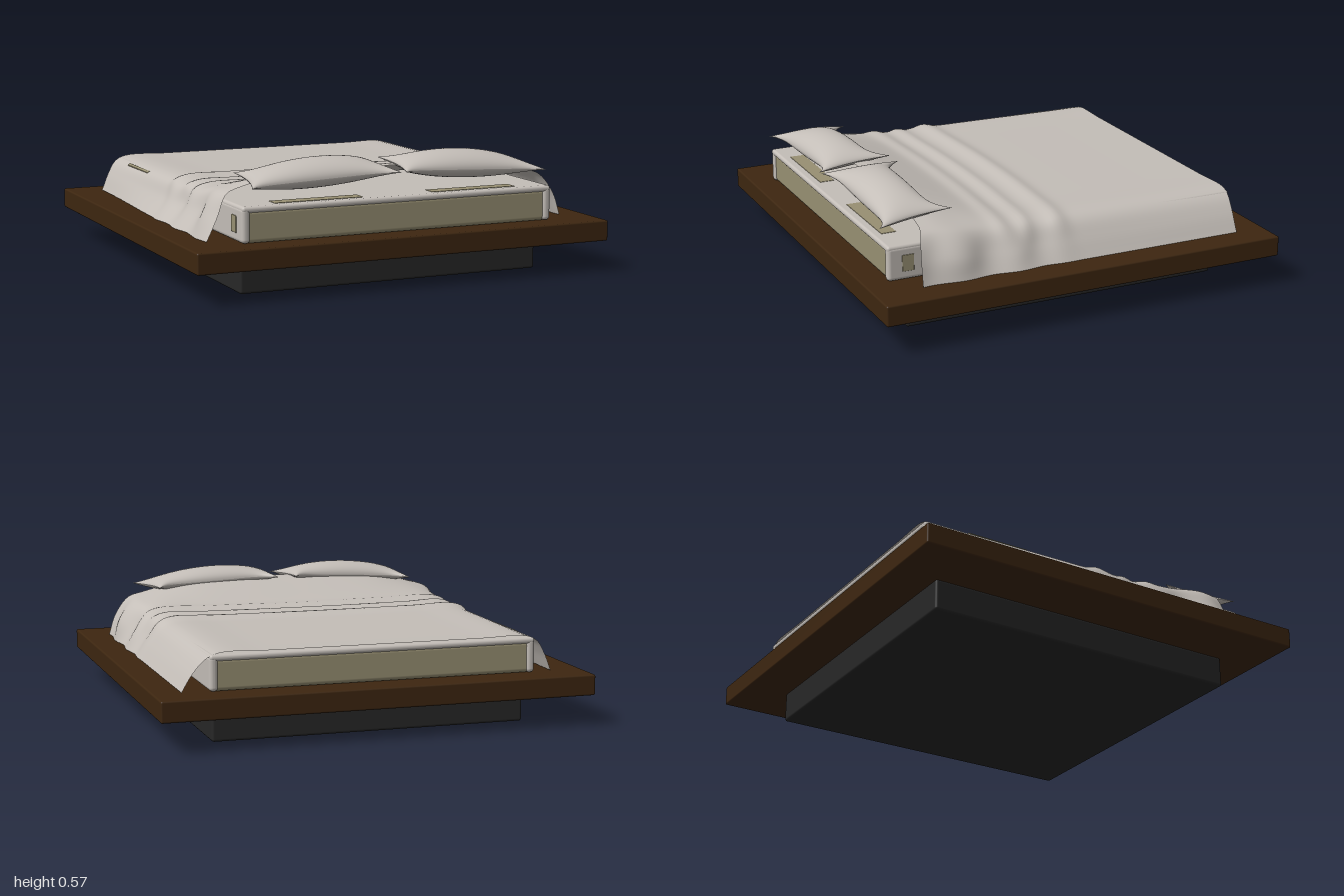
import * as THREE from 'three';
import { RoundedBoxGeometry } from 'three/addons/geometries/RoundedBoxGeometry.js';

const mat = (name, color, side = THREE.FrontSide) => {
  const m = new THREE.MeshStandardMaterial({ color, side });
  m.name = name;
  return m;
};

// Smooth surface from a rule fn(u, v) -> [x, y, z], u and v in -1..1
function surface(nu, nv, fn) {
  const pos = [], idx = [];
  for (let j = 0; j <= nv; j++)
    for (let i = 0; i <= nu; i++) pos.push(...fn((2 * i) / nu - 1, (2 * j) / nv - 1));
  for (let j = 0; j < nv; j++)
    for (let i = 0; i < nu; i++) {
      const a = j * (nu + 1) + i, c = a + nu + 1;
      idx.push(a, c, a + 1, a + 1, c, c + 1);
    }
  const g = new THREE.BufferGeometry();
  g.setAttribute('position', new THREE.Float32BufferAttribute(pos, 3));
  g.setIndex(idx);
  g.computeVertexNormals();
  return g;
}

const bump = (d, w) => Math.exp(-(d * d) / (w * w));
const smooth = THREE.MathUtils.smoothstep;

// Height of the blanket over the mattress: cross folds, then a rise to the pillows
function blanketTop(x, z) {
  const bow = z - 0.07 * x * x;
  const folds = 0.016 * bump(bow - 0.02, 0.045) + 0.012 * bump(bow - 0.17, 0.035)
    + 0.012 * bump(bow - 0.29, 0.04);
  const rise = smooth(z, 0.24, 0.68) * (0.1 - 0.06 * Math.pow(Math.abs(x) / 0.72, 4));
  return 0.406 + 0.006 * smooth(z, -0.8, 0) + folds + rise;
}

// One cross-section of the blanket, from right hem to left hem
function blanketSection(z) {
  const ruffle = smooth(z, -0.05, 0.2);
  const side = (s) => {
    const wave = ruffle * 0.014 * Math.sin(z * 24 + s);
    const full = smooth(z, 0.3, 0.65);
    const hem = (s > 0 ? 0.875 : 0.845 + 0.035 * smooth(z, -0.8, 0.2)) + wave * 0.5;
    const mid = (s > 0 ? 0.825 : 0.81) + 0.02 * full + wave;
    const edge = blanketTop(0.71, z);
    return [
      [0.25, blanketTop(0.25, z)], [0.5, blanketTop(0.5, z)], [0.71, edge],
      [0.77 + 0.01 * full + wave * 0.5, edge - 0.025], [mid, 0.32 + 0.02 * full], [hem, 0.238],
    ].map(([x, y]) => new THREE.Vector3(s * x, y, 0));
  };
  return new THREE.CatmullRomCurve3(
    [...side(-1).reverse(), new THREE.Vector3(0, blanketTop(0, z), 0), ...side(1)], false, 'centripetal');
}

function blanketGeometry() {
  const sections = new Map();
  return surface(72, 90, (u, v) => {
    const z0 = -0.055 + v * 0.785;
    if (!sections.has(v)) sections.set(v, blanketSection(z0));
    const p = sections.get(v).getPoint((u + 1) / 2);
    // Ends wander a little; the open end is drawn back in the middle
    const end = smooth(v, 0.7, 1), drop = smooth(Math.abs(p.x), 0.7, 0.88);
    const z = z0 - 0.03 * end * (1 - drop) + 0.02 * end * drop
      + 0.02 * smooth(-v, 0.9, 1) * drop;
    return [p.x, p.y, z];
  });
}

// Half of a pillow (top = 1 or bottom = -1), pinched to pointed corners
function pillowHalf(face) {
  return surface(36, 28, (s, t) => {
    const u = Math.sin((face * s * Math.PI) / 2), v = Math.sin((t * Math.PI) / 2);
    const f = (v + 1) / 2, r = (u + 1) / 2;
    const outer = 0.66 + 0.06 * f, inner = 0.045 - 0.035 * f;
    let x = inner + (outer - inner) * r;
    x -= u * 0.025 * (1 - v * v);
    const pinch = 1 - Math.pow(Math.abs(u), 7);
    const back = 0.515 + 0.085 * pinch;
    const front = 0.885 - 0.05 * pinch;
    const z = back + (front - back) * f;
    const body = Math.pow(Math.max(0, 1 - u * u), 0.55) * Math.pow(Math.max(0, 1 - v * v), 0.5);
    const y = 0.525 - 0.03 * r - 0.02 * f + face * (face > 0 ? 0.07 : 0.055) * body;
    return [x, y, z];
  });
}

export function createModel() {
  const group = new THREE.Group();
  const wood = mat('dark wood', 0x3d2610);
  const black = mat('black plinth', 0x272727);
  const khaki = mat('khaki mattress', 0x989073);
  const linen = mat('pale linen', 0xc4beb8, THREE.DoubleSide);

  const add = (name, geometry, material, x = 0, y = 0, z = 0, parent = group) => {
    const m = new THREE.Mesh(geometry, material);
    m.name = name;
    m.position.set(x, y, z);
    parent.add(m);
    return m;
  };
  const box = (w, h, d, r) => new RoundedBoxGeometry(w, h, d, 3, r);

  // Bed frame
  add('plinth', box(1.46, 0.145, 1.54, 0.012), black, 0, 0.0725, 0);
  add('platform', box(2, 0.095, 1.94, 0.008), wood, 0, 0.1885, 0);

  // Mattress with a fitted sheet over the top and sides
  add('mattress', box(1.48, 0.145, 1.69, 0.02), khaki, 0, 0.309, 0.01);
  add('sheetTop', box(1.51, 0.028, 1.71, 0.013), linen, 0, 0.384, 0.01);
  for (const s of [-1, 1]) {
    add('sheetSide', box(0.04, 0.155, 1.71, 0.018), linen, s * 0.737, 0.315, 0.01);
    // Bare mattress showing through the sheet
    add('barePatchSide', box(0.006, 0.075, 0.055, 0.002), khaki, s * 0.757, 0.315, 0.77);
    add('barePatchTop', box(0.42, 0.006, 0.07, 0.002), khaki, s * 0.38, 0.397, 0.79);
  }
  const patch = add('barePatchBlanket', box(0.016, 0.008, 0.3, 0.003), khaki, -0.763, 0.388, -0.48);
  patch.rotation.z = 0.5;

  // Bedding
  add('blanket', blanketGeometry(), linen);
  for (const s of [-1, 1]) {
    const pillow = new THREE.Group();
    pillow.name = s > 0 ? 'leftPillow' : 'rightPillow';
    pillow.scale.x = s;
    add('pillowTop', pillowHalf(1), linen, 0, 0, 0, pillow);
    // The underside runs the other way across, so it faces down
    add('pillowBottom', pillowHalf(-1), linen, 0, 0, 0, pillow);
    group.add(pillow);
  }
  return group;
}
